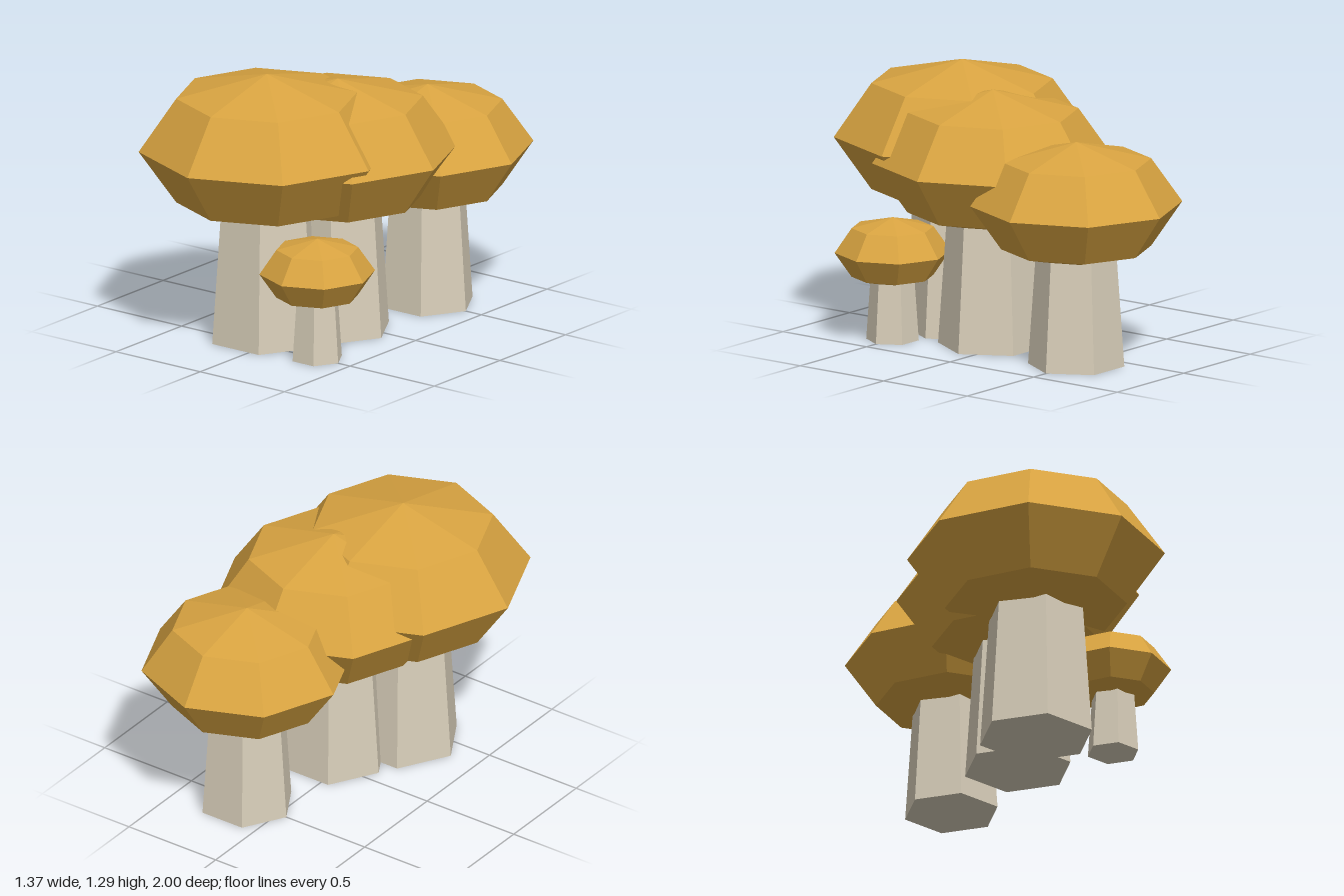
import * as THREE from 'three';

const capMaterial = new THREE.MeshStandardMaterial({ color: 0xd9a441, flatShading: true });
capMaterial.name = 'ochre cap';
const stemMaterial = new THREE.MeshStandardMaterial({ color: 0xd9cfba, flatShading: true });
stemMaterial.name = 'pale stem';

// One mushroom: a squashed faceted cap on a tapered six-sided stem
function mushroom(name, x, z, capRadius, capY, capHalfHeight) {
  const group = new THREE.Group();
  group.name = name;
  group.position.set(x, 0, z);

  const cap = new THREE.Mesh(new THREE.SphereGeometry(1, 8, 4), capMaterial);
  cap.name = 'cap';
  cap.scale.set(capRadius, capHalfHeight, capRadius);
  cap.position.y = capY;

  // The stem ends inside the cap
  const stemHeight = capY - capHalfHeight * 0.6;
  const baseRadius = capRadius * 0.456;
  const stemGeometry = new THREE.CylinderGeometry(baseRadius * 0.82, baseRadius, stemHeight, 6);
  stemGeometry.rotateY(Math.PI / 6);
  stemGeometry.translate(0, stemHeight / 2, 0);
  const stem = new THREE.Mesh(stemGeometry, stemMaterial);
  stem.name = 'stem';

  group.add(cap, stem);
  return group;
}

export function createModel() {
  const model = new THREE.Group();
  model.name = 'mushroomCluster';
  model.add(
    mushroom('largeMushroom', -0.08, 0.39, 0.605, 0.935, 0.36),
    mushroom('middleMushroom', 0.09, 0.07, 0.57, 0.885, 0.34),
    mushroom('backMushroom', 0.18, -0.5, 0.5, 0.775, 0.297),
    mushroom('smallMushroom', 0.305, 0.5, 0.273, 0.423, 0.165),
  );
  return model;
}
